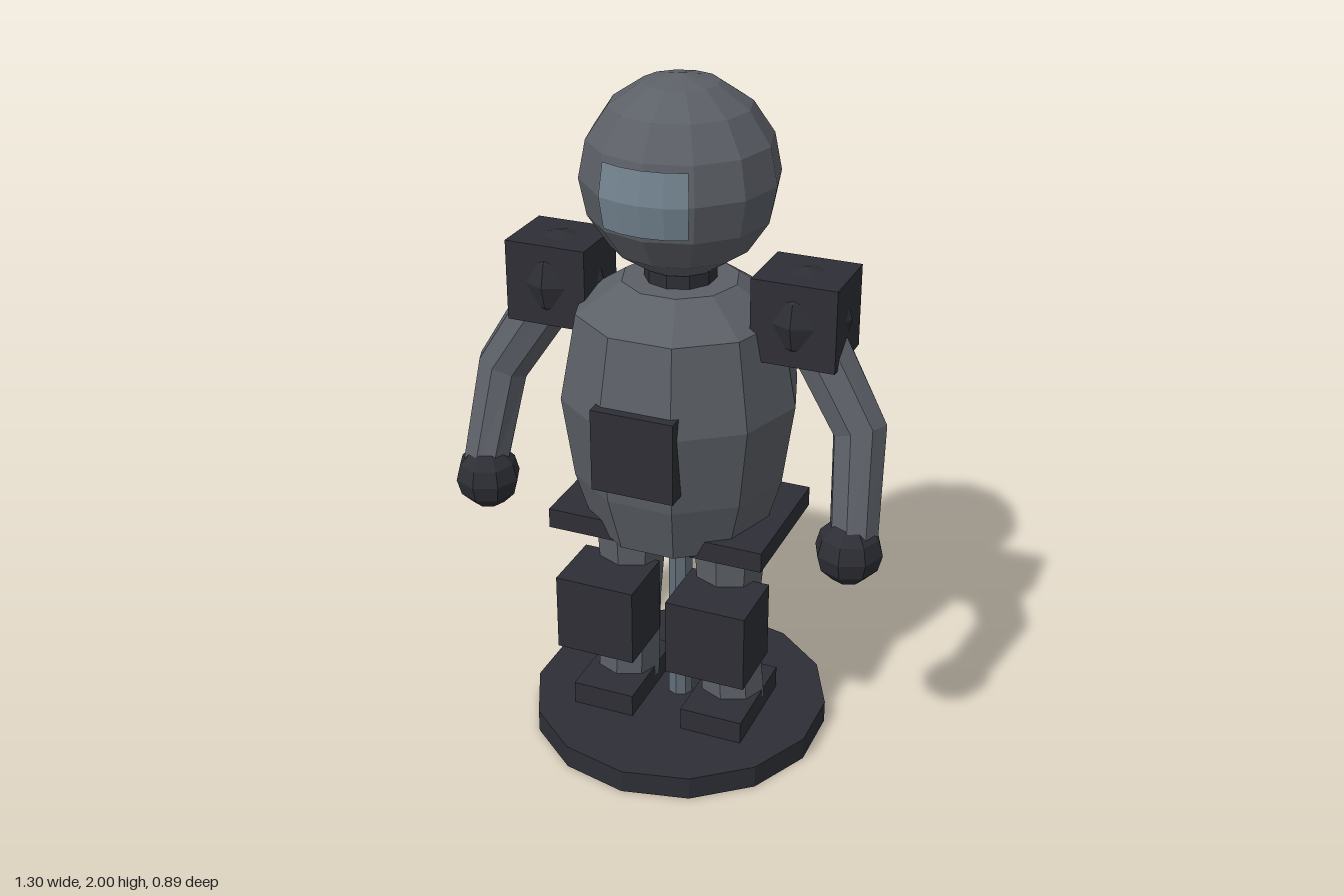
import * as THREE from 'three';

const material = (color, side = THREE.FrontSide) =>
  new THREE.MeshStandardMaterial({ color, side, flatShading: true });

const suit = material(0x5c6067);
const dark = material(0x2e2f36);
const metal = material(0x626e78);
const glass = material(0x73838f, THREE.DoubleSide);

function add(parent, name, geometry, mat, x = 0, y = 0, z = 0) {
  const mesh = new THREE.Mesh(geometry, mat);
  mesh.name = name;
  mesh.position.set(x, y, z);
  parent.add(mesh);
  return mesh;
}

// Box given by its lower and upper corner
function addBox(parent, name, mat, [x0, y0, z0], [x1, y1, z1]) {
  const box = new THREE.BoxGeometry(Math.abs(x1 - x0), y1 - y0, z1 - z0);
  return add(parent, name, box, mat, (x0 + x1) / 2, (y0 + y1) / 2, (z0 + z1) / 2);
}

// Bent limb: each row of a cylinder is moved onto a joint, from top to bottom
function limb(joints, radii, sides = 8) {
  const points = joints.map((j) => new THREE.Vector3(...j));
  const last = points.length - 1;
  const geometry = new THREE.CylinderGeometry(1, 1, 1, sides, last, false);
  const pos = geometry.attributes.position;
  const up = new THREE.Vector3(0, 1, 0);
  const v = new THREE.Vector3();
  const turns = points.map((p, i) => {
    const dir = points[Math.max(i - 1, 0)].clone().sub(points[Math.min(i + 1, last)]);
    return new THREE.Quaternion().setFromUnitVectors(up, dir.normalize());
  });
  for (let i = 0; i < pos.count; i++) {
    v.fromBufferAttribute(pos, i);
    const row = Math.round((0.5 - v.y) * last);
    v.y = 0;
    v.multiplyScalar(radii[row]).applyQuaternion(turns[row]).add(points[row]);
    pos.setXYZ(i, v.x, v.y, v.z);
  }
  geometry.computeVertexNormals();
  return geometry;
}

function addArm(parent, s) {
  const arm = new THREE.Group();
  arm.name = s > 0 ? 'leftArm' : 'rightArm';
  parent.add(arm);
  addBox(arm, 'shoulderPad', dark, [s * 0.242, 1.27, -0.105], [s * 0.482, 1.505, 0.105]);
  add(arm, 'shoulderJoint', new THREE.SphereGeometry(0.13, 8, 6), dark, s * 0.362, 1.388, 0);
  const joints = [[s * 0.36, 1.38, 0], [s * 0.54, 1.09, 0.04], [s * 0.565, 0.8, 0.135]];
  add(arm, 'sleeve', limb(joints, [0.085, 0.078, 0.068]), suit);
  add(arm, 'glove', new THREE.SphereGeometry(0.096, 8, 6), dark, s * 0.555, 0.772, 0.14);
}

function addLeg(parent, s) {
  const leg = new THREE.Group();
  leg.name = s > 0 ? 'leftLeg' : 'rightLeg';
  parent.add(leg);
  const joints = [[s * 0.155, 0.72, 0], [s * 0.155, 0.4, 0.005], [s * 0.172, 0.11, 0]];
  add(leg, 'trouser', limb(joints, [0.117, 0.093, 0.1]), suit);
  addBox(leg, 'kneePad', dark, [s * 0.052, 0.3, 0.037], [s * 0.292, 0.535, 0.24]);
  addBox(leg, 'boot', dark, [s * 0.078, 0.06, -0.12], [s * 0.268, 0.14, 0.19]);
}

export function createModel() {
  const model = new THREE.Group();
  model.name = 'figure';

  // Stand
  add(model, 'base', new THREE.CylinderGeometry(0.445, 0.445, 0.07, 14), dark, 0, 0.035, 0);
  add(model, 'supportPole', new THREE.CylinderGeometry(0.038, 0.038, 0.66, 8), metal, 0, 0.39, 0);

  // Torso with a flat facet at the front
  const profile = [
    [0, 0.69], [0.257, 0.69], [0.308, 0.86], [0.342, 1.1], [0.295, 1.35], [0.165, 1.435], [0, 1.435],
  ].map(([r, y]) => new THREE.Vector2(r, y));
  add(model, 'torso', new THREE.LatheGeometry(profile, 10, Math.PI / 10), suit);
  addBox(model, 'chestPanel', dark, [-0.12, 0.92, 0.27], [0.12, 1.16, 0.343]);
  addBox(model, 'belt', dark, [-0.325, 0.68, -0.205], [0.325, 0.74, 0.205]);

  // Head
  add(model, 'neck', new THREE.CylinderGeometry(0.1, 0.1, 0.12, 10), dark, 0, 1.45, 0);
  add(model, 'helmet', new THREE.SphereGeometry(0.273, 12, 8), suit, 0, 1.727, 0);
  const visor = new THREE.SphereGeometry(
    0.278, 4, 2, Math.PI / 2 - 0.47, 0.94, Math.PI / 2 - 0.33, 0.66);
  add(model, 'visor', visor, glass, 0, 1.727, 0);

  for (const s of [1, -1]) {
    addArm(model, s);
    addLeg(model, s);
  }
  return model;
}
